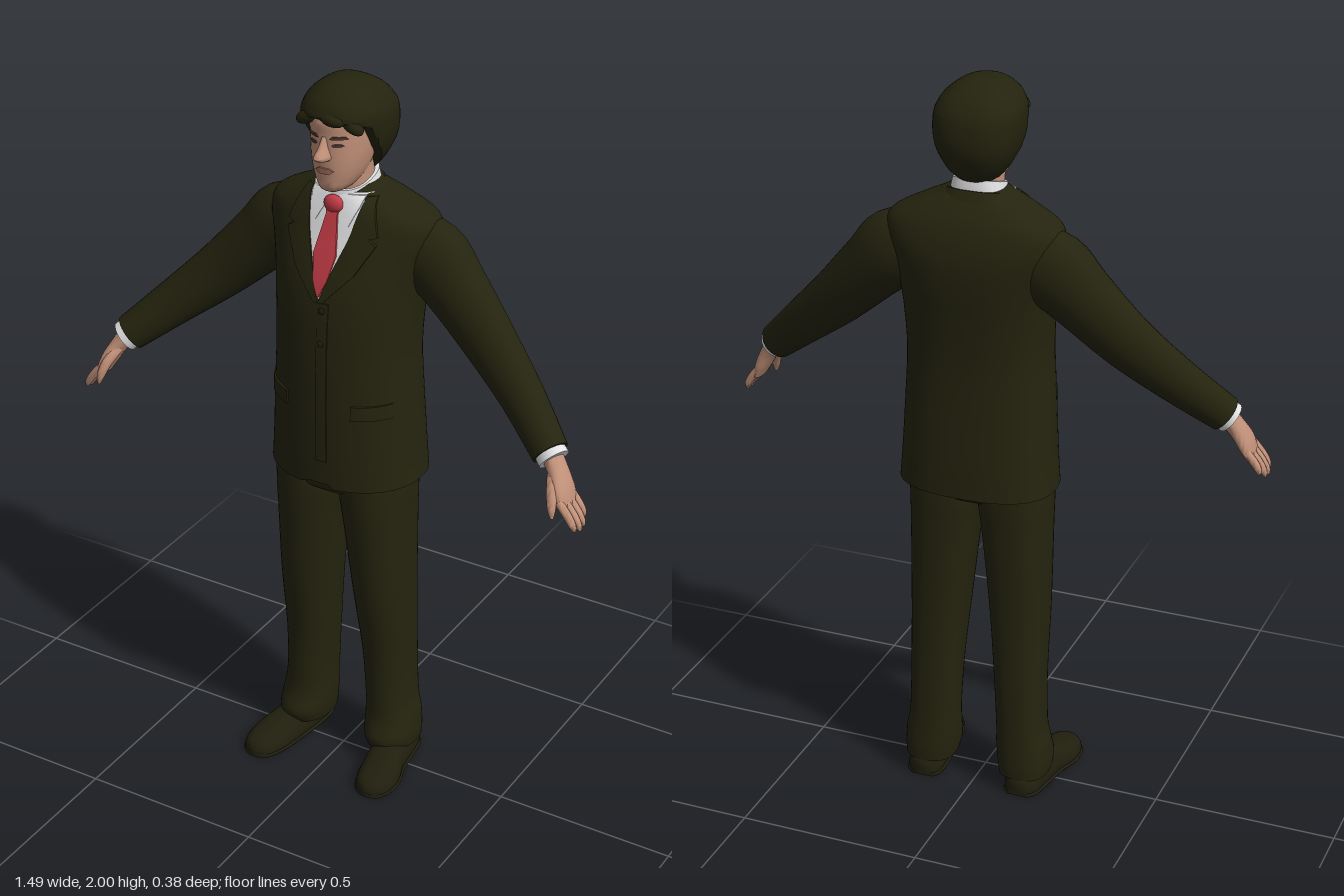
import * as THREE from 'three';
import { toCreasedNormals } from 'three/addons/utils/BufferGeometryUtils.js';

const mat = (name, color) => {
  const m = new THREE.MeshStandardMaterial({ color });
  m.name = name;
  return m;
};

// Catmull-Rom interpolation of table rows
function smooth(rows, k = 5) {
  const out = [], at = i => rows[Math.min(Math.max(i, 0), rows.length - 1)];
  for (let i = 0; i < rows.length - 1; i++) for (let j = 0; j < k; j++) {
    const t = j / k;
    out.push(rows[i].map((b, c) => {
      const a = at(i - 1)[c], d = at(i + 1)[c], e = at(i + 2)[c];
      return b + 0.5 * t * (d - a + t * (2 * a - 5 * b + 4 * d - e + t * (3 * (b - d) + e - a)));
    }));
  }
  out.push(rows[rows.length - 1]);
  return out;
}

// Closed, capped skin over a list of equal-length rings
function loft(rings, crease = 0.8) {
  const n = rings[0].length, pts = rings.flat(), idx = [];
  for (let i = 0; i < rings.length - 1; i++) for (let j = 0; j < n; j++) {
    const a = i * n + j, b = i * n + (j + 1) % n;
    idx.push(a, b, a + n, b, b + n, a + n);
  }
  for (const i of [0, rings.length - 1]) {
    const c = new THREE.Vector3();
    rings[i].forEach(p => c.addScaledVector(p, 1 / n));
    const k = pts.push(c) - 1;
    for (let j = 0; j < n; j++) {
      const a = i * n + j, b = i * n + (j + 1) % n;
      i === 0 ? idx.push(k, b, a) : idx.push(k, a, b);
    }
  }
  // Turn the faces outward
  let vol = 0;
  const q = new THREE.Vector3();
  for (let i = 0; i < idx.length; i += 3) vol += pts[idx[i]].dot(q.crossVectors(pts[idx[i + 1]], pts[idx[i + 2]]));
  if (vol < 0) idx.reverse();
  const g = new THREE.BufferGeometry().setFromPoints(pts);
  g.setIndex(idx);
  return toCreasedNormals(g, crease);
}

const pw = (v, e) => Math.sign(v) * Math.abs(v) ** (2 / e);
const midZ = r => r[4] + (r[3] - r[4]) * 0.45;
const EF = 2.2, EB = 2.5;

// Level ring from a row [y, centre x, half width, front z, back z, front cut]
function level(r, s = 1, tilt = 0, n = 40) {
  const zm = midZ(r);
  return Array.from({ length: n }, (_, i) => {
    const a = i / n * Math.PI * 2, front = Math.sin(a) >= 0, e = front ? EF : EB;
    let z = zm + pw(Math.sin(a), e) * (front ? r[3] - zm : zm - r[4]);
    if (r.length > 5) z = Math.min(z, r[5]);
    return new THREE.Vector3(s * (r[1] + r[2] * pw(Math.cos(a), e)), r[0] - tilt * (z - zm), z);
  });
}
const body = (rows, s, tilt) => loft(smooth(rows).map(r => level(r, s, tilt)));

// Limb from rows [x, y, z, radius across, radius fore and aft]
function limb(rows, s = 1, n = 20) {
  const d = smooth(rows, 4), P = d.map(r => new THREE.Vector3(s * r[0], r[1], r[2]));
  return loft(d.map((r, i) => {
    const t = P[Math.min(i + 1, P.length - 1)].clone().sub(P[Math.max(i - 1, 0)]).normalize();
    const v = new THREE.Vector3(0, 0, 1).addScaledVector(t, -t.z).normalize();
    const u = new THREE.Vector3().crossVectors(t, v);
    return Array.from({ length: n }, (_, j) => {
      const a = j / n * Math.PI * 2;
      return P[i].clone().addScaledVector(u, r[3] * Math.cos(a)).addScaledVector(v, r[4] * Math.sin(a));
    });
  }));
}

// Front depth of a body at x, y
function frontZ(dense, x, y) {
  let i = 0;
  while (i < dense.length - 2 && dense[i + 1][0] < y) i++;
  const a = dense[i], b = dense[i + 1], t = THREE.MathUtils.clamp((y - a[0]) / (b[0] - a[0]), 0, 1);
  const r = a.map((v, c) => v + (b[c] - v) * t), zm = midZ(r);
  return zm + (r[3] - zm) * Math.max(0, 1 - Math.min(1, Math.abs(x) / r[2]) ** EF) ** (1 / EF);
}

// Thin plate hugging a body front; rows [y, x from, x to], top to bottom
function plate(dense, rows, off, s = 1) {
  const R = [];
  rows.forEach((r, i) => {
    if (!i) return R.push(r);
    for (let k = 1; k <= 6; k++) R.push(r.map((v, c) => rows[i - 1][c] + (v - rows[i - 1][c]) * k / 6));
  });
  const m = R.length, n = 12, w = n + 3, pts = [], idx = [];
  for (let i = -1; i <= m; i++) for (let j = -1; j <= n + 1; j++) {
    const [y, a, b] = R[Math.min(Math.max(i, 0), m - 1)];
    const [lo, hi] = s > 0 ? [a, b] : [-b, -a];
    const x = lo + (hi - lo) * Math.min(Math.max(j, 0), n) / n;
    const edge = i < 0 || i === m || j < 0 || j > n;
    pts.push(new THREE.Vector3(x, y, frontZ(dense, x, y) + (edge ? -0.001 : off)));
  }
  for (let i = 0; i <= m; i++) for (let j = 0; j < w - 1; j++) {
    const a = i * w + j, c = a + w;
    idx.push(a, c, a + 1, a + 1, c, c + 1);
  }
  const g = new THREE.BufferGeometry().setFromPoints(pts);
  g.setIndex(idx);
  return toCreasedNormals(g, 0.6);
}

export function createModel() {
  const root = new THREE.Group();
  const suit = mat('suit cloth', 0x25240f), hairMat = mat('dark hair', 0x24230e), shoeMat = mat('shoe leather', 0x201f0e);
  const skin = mat('skin', 0xc29179), white = mat('white shirt', 0xe2e2e4), red = mat('red tie', 0xc23b46);
  const lipMat = mat('lips', 0xa87462), eyeMat = mat('eyes', 0x4a3830);
  const add = (name, geo, m, pos, scale) => {
    const o = new THREE.Mesh(geo, m);
    o.name = name;
    if (pos) o.position.set(...pos);
    if (scale) o.scale.set(...scale);
    root.add(o);
    return o;
  };
  const ball = new THREE.SphereGeometry(1, 20, 14);

  // Jacket body, with the front hem parted at the middle
  const torso = [[0.91, 0, 0.212, 0.138, -0.185], [1.0, 0, 0.205, 0.14, -0.183], [1.15, 0, 0.197, 0.14, -0.175],
    [1.28, 0, 0.191, 0.138, -0.172], [1.4, 0, 0.196, 0.131, -0.18], [1.48, 0, 0.205, 0.116, -0.188],
    [1.55, 0, 0.222, 0.092, -0.19], [1.6, 0, 0.235, 0.072, -0.182], [1.645, 0, 0.225, 0.056, -0.166],
    [1.68, 0, 0.165, 0.043, -0.145], [1.71, 0, 0.1, 0.03, -0.12], [1.725, 0, 0.075, 0.015, -0.1]];
  const dense = smooth(torso), rings = dense.map(r => level(r, 1, 0, 64));
  rings[0].forEach(p => { if (p.z > 0) p.y += 0.07 * Math.max(0, 1 - Math.abs(p.x) / 0.035); });
  add('jacket', loft(rings), suit);
  add('jacketCollar', body([[1.66, 0, 0.11, 0.06, -0.14, -0.01], [1.69, 0, 0.095, 0.05, -0.125, -0.015],
    [1.715, 0, 0.08, 0.04, -0.112, -0.02]], 1, 0.2), suit);
  add('frontOverlap', plate(dense, [[1.44, 0, 0.03], [0.99, 0, 0.03]], 0.003), suit);
  for (const y of [1.42, 1.33]) add('button', ball, shoeMat, [0.012, y, frontZ(dense, 0.012, y) + 0.004], [0.009, 0.009, 0.004]);

  // Shirt front and tie
  add('shirtFront', plate(dense, [[1.712, -0.085, 0.085], [1.6, -0.055, 0.055], [1.45, -0.002, 0.002]], 0.003), white);
  add('shirtCollar', body([[1.675, 0, 0.08, 0.046, -0.108], [1.71, 0, 0.072, 0.043, -0.106], [1.738, 0, 0.066, 0.038, -0.102]], 1, 0.3), white);
  add('tie', plate(dense, [[1.68, -0.018, 0.018], [1.655, -0.016, 0.016], [1.56, -0.032, 0.032], [1.5, -0.02, 0.02], [1.456, -0.002, 0.002]], 0.009), red);
  add('tieKnot', ball, red, [0, 1.682, 0.05], [0.027, 0.024, 0.016]);

  // Hips and trousers
  add('hips', body([[0.86, 0, 0.12, 0.07, -0.1], [0.89, 0, 0.187, 0.103, -0.128], [1.0, 0, 0.187, 0.105, -0.13]]), suit);
  const leg = [[0.93, 0.097, 0.094, 0.106, -0.13], [0.85, 0.097, 0.095, 0.104, -0.13], [0.78, 0.101, 0.09, 0.098, -0.127],
    [0.55, 0.113, 0.078, 0.074, -0.12], [0.35, 0.121, 0.069, 0.043, -0.122], [0.2, 0.127, 0.066, 0.037, -0.125],
    [0.14, 0.132, 0.071, 0.04, -0.126], [0.085, 0.136, 0.072, 0.058, -0.128], [0.05, 0.137, 0.068, 0.046, -0.126]];

  // Shoe rows: z, centre x, half width, height
  const foot = [[-0.124, 0.142, 0.028, 0.05], [-0.1, 0.143, 0.046, 0.07], [-0.03, 0.15, 0.052, 0.085], [0.03, 0.158, 0.053, 0.08],
    [0.09, 0.172, 0.058, 0.062], [0.14, 0.178, 0.053, 0.052], [0.175, 0.18, 0.037, 0.042], [0.19, 0.18, 0.012, 0.026]];
  const shoe = (s, height, grow) => loft(smooth(foot, 4).map(([z, cx, hw, h]) => Array.from({ length: 28 }, (_, i) => {
    const a = i / 28 * Math.PI * 2, H = height || h;
    return new THREE.Vector3(s * (cx + (hw + grow) * pw(Math.cos(a), 2.4)), Math.max(0, H * (0.3 + 0.7 * Math.sin(a))), z);
  })));

  for (const s of [1, -1]) {
    const side = s > 0 ? 'left' : 'right';
    add(side + 'Lapel', plate(dense, [[1.705, 0.078, 0.098], [1.64, 0.064, 0.122], [1.618, 0.06, 0.128], [1.612, 0.058, 0.106],
      [1.598, 0.054, 0.128], [1.52, 0.026, 0.085], [1.44, 0.0, 0.012]], 0.007, s), suit);
    add(side + 'PocketFlap', plate(dense, [[1.165, 0.095, 0.178], [1.125, 0.095, 0.18]], 0.007, s), suit);
    add(side + 'CollarPoint', plate(dense, [[1.708, 0.01, 0.075], [1.685, 0.02, 0.07], [1.635, 0.045, 0.05]], 0.006, s), white);
    add(side + 'Leg', body(leg, s), suit);
    add(side + 'Shoe', shoe(s, 0, 0), shoeMat);
    add(side + 'Sole', shoe(s, 0.016, 0.004), shoeMat);

    // Sleeve, cuff and hand
    add(side + 'Sleeve', limb([[0.14, 1.56, -0.07, 0.09, 0.07], [0.215, 1.535, -0.075, 0.104, 0.077], [0.285, 1.472, -0.068, 0.09, 0.07],
      [0.4, 1.36, -0.043, 0.076, 0.057], [0.52, 1.255, 0.002, 0.062, 0.05], [0.63, 1.158, 0.06, 0.05, 0.045]], s, 28), suit);
    add(side + 'Cuff', limb([[0.6, 1.184, 0.046, 0.04, 0.036], [0.644, 1.146, 0.067, 0.043, 0.04]], s), white);
    add(side + 'Palm', limb([[0.63, 1.16, 0.06, 0.027, 0.03], [0.66, 1.12, 0.072, 0.023, 0.034], [0.683, 1.08, 0.084, 0.02, 0.044],
      [0.698, 1.045, 0.09, 0.013, 0.042]], s), skin);
    [0, 1, 2, 3].forEach(i => {
      const z = 0.056 + i * 0.0225, len = [0.78, 0.97, 1, 0.9][i];
      add(side + 'Finger', limb([[0.688, 1.066, z, 0.011, 0.011], [0.69 + 0.03 * len, 1.066 - 0.038 * len, z + 0.002, 0.011, 0.011],
        [0.69 + 0.046 * len, 1.066 - 0.064 * len, z + 0.002, 0.009, 0.009], [0.69 + 0.05 * len, 1.066 - 0.078 * len, z, 0.004, 0.004]], s, 10), skin);
    });
    add(side + 'Thumb', limb([[0.652, 1.118, 0.088, 0.014, 0.014], [0.668, 1.085, 0.122, 0.014, 0.014],
      [0.678, 1.05, 0.14, 0.011, 0.011], [0.682, 1.026, 0.145, 0.004, 0.004]], s, 10), skin);
  }

  // Neck and head
  add('neck', body([[1.66, 0, 0.062, 0.03, -0.095], [1.72, 0, 0.058, 0.032, -0.088], [1.79, 0, 0.06, 0.04, -0.09]]), skin);
  const head = [[1.722, 0, 0.022, 0.07, 0.0], [1.734, 0, 0.04, 0.087, -0.03], [1.765, 0, 0.059, 0.092, -0.06], [1.8, 0, 0.07, 0.095, -0.08],
    [1.84, 0, 0.078, 0.096, -0.11], [1.88, 0, 0.081, 0.096, -0.12], [1.92, 0, 0.08, 0.094, -0.12], [1.96, 0, 0.06, 0.06, -0.09]];
  const face = smooth(head);
  add('head', body(head), skin);
  add('nose', body([[1.812, 0, 0.01, 0.098, 0.06], [1.822, 0, 0.019, 0.126, 0.06], [1.832, 0, 0.018, 0.134, 0.06],
    [1.852, 0, 0.012, 0.116, 0.06], [1.878, 0, 0.009, 0.098, 0.06]]), skin);
  add('mouth', plate(face, [[1.795, -0.014, 0.014], [1.788, -0.025, 0.025], [1.779, -0.014, 0.014]], 0.004), lipMat);
  for (const s of [1, -1]) {
    add('eye', plate(face, [[1.862, 0.024, 0.042], [1.857, 0.02, 0.048], [1.853, 0.026, 0.042]], 0.002, s), eyeMat);
    add('eyebrow', plate(face, [[1.881, 0.022, 0.05], [1.874, 0.016, 0.055]], 0.004, s), eyeMat);
  }

  // Hair: full on the crown, cut back around the face
  add('hair', body([[1.742, 0, 0.045, 0.06, -0.095, -0.06], [1.775, 0, 0.075, 0.09, -0.128, -0.045], [1.81, 0, 0.095, 0.1, -0.147, -0.025],
    [1.84, 0, 0.106, 0.105, -0.156, 0.0], [1.87, 0, 0.111, 0.108, -0.158, 0.018], [1.9, 0, 0.112, 0.109, -0.155, 0.04],
    [1.916, 0, 0.111, 0.109, -0.151, 0.085], [1.93, 0, 0.108, 0.109, -0.145, 0.109], [1.96, 0, 0.091, 0.094, -0.122, 0.11],
    [1.985, 0, 0.06, 0.062, -0.085, 0.11], [1.997, 0, 0.03, 0.025, -0.055, 0.11], [2.0, 0, 0.008, -0.01, -0.025, 0.11]]), hairMat);
  // Side-swept fringe
  [[-0.055, 1.916, 0.078, 0.5], [0.02, 1.926, 0.09, -0.15], [0.062, 1.912, 0.066, -0.6]].forEach(([x, y, z, r]) => {
    add('fringe', ball, hairMat, [x, y, z], [0.036, 0.018, 0.022]).rotation.z = r;
  });
  return root;
}
